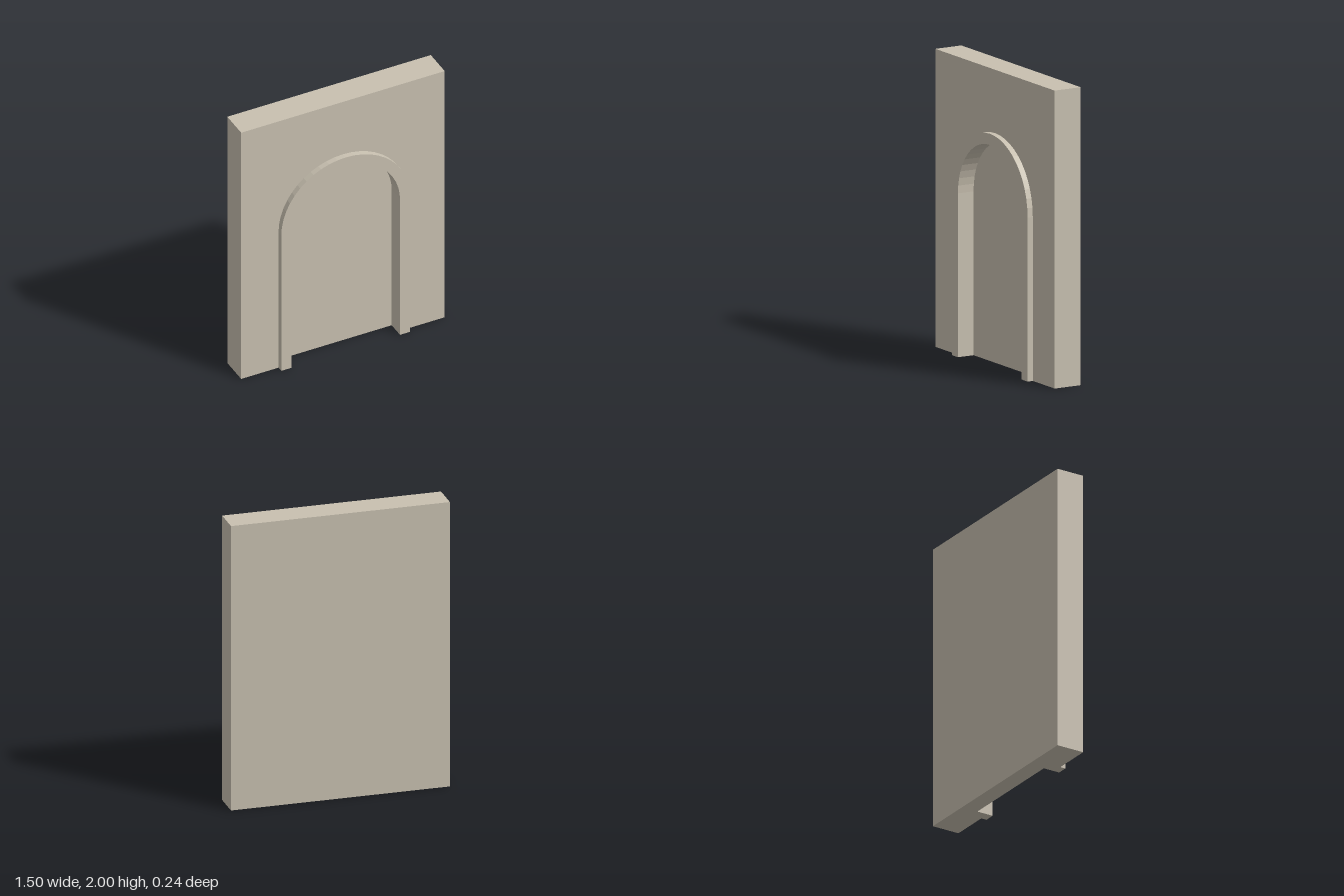
import * as THREE from 'three';

const SPRING = 1.1; // height where the arch starts to curve
const INNER = 0.4;
const OUTER = 0.475;

// Outline up the right side, over the arch and down the left
function archLine(path, r) {
  path.lineTo(r, 0);
  path.lineTo(r, SPRING);
  path.absarc(0, SPRING, r, 0, Math.PI, false);
  path.lineTo(-r, 0);
  return path;
}

// Return along the inside of the opening, left to right
function openingLine(path) {
  path.lineTo(-INNER, 0);
  path.lineTo(-INNER, SPRING);
  path.absarc(0, SPRING, INNER, Math.PI, 0, true);
  path.lineTo(INNER, 0);
  return path;
}

function extrude(shape, z0, z1, material, name) {
  const geometry = new THREE.ExtrudeGeometry(shape, {
    depth: z1 - z0, bevelEnabled: false, curveSegments: 12,
  });
  geometry.translate(0, 0, z0);
  const mesh = new THREE.Mesh(geometry, material);
  mesh.name = name;
  return mesh;
}

export function createModel() {
  const group = new THREE.Group();
  group.name = 'archedNicheWall';
  const stone = new THREE.MeshStandardMaterial({ color: 0xc8c0b0 });
  stone.name = 'pale stone';

  // Solid back half of the wall, the floor of the niche
  const back = new THREE.Mesh(new THREE.BoxGeometry(1.5, 2, 0.12), stone);
  back.position.set(0, 1, -0.06);
  back.name = 'wallBack';
  group.add(back);

  // Front half of the wall with the arched opening cut out
  const front = new THREE.Shape();
  front.moveTo(0.75, 0);
  front.lineTo(0.75, 2);
  front.lineTo(-0.75, 2);
  front.lineTo(-0.75, 0);
  openingLine(front);
  group.add(extrude(front, 0, 0.08, stone, 'wallFront'));

  // Raised trim around the opening
  const trim = new THREE.Shape();
  trim.moveTo(INNER, 0);
  archLine(trim, OUTER);
  openingLine(trim);
  group.add(extrude(trim, 0.08, 0.12, stone, 'archTrim'));

  return group;
}
